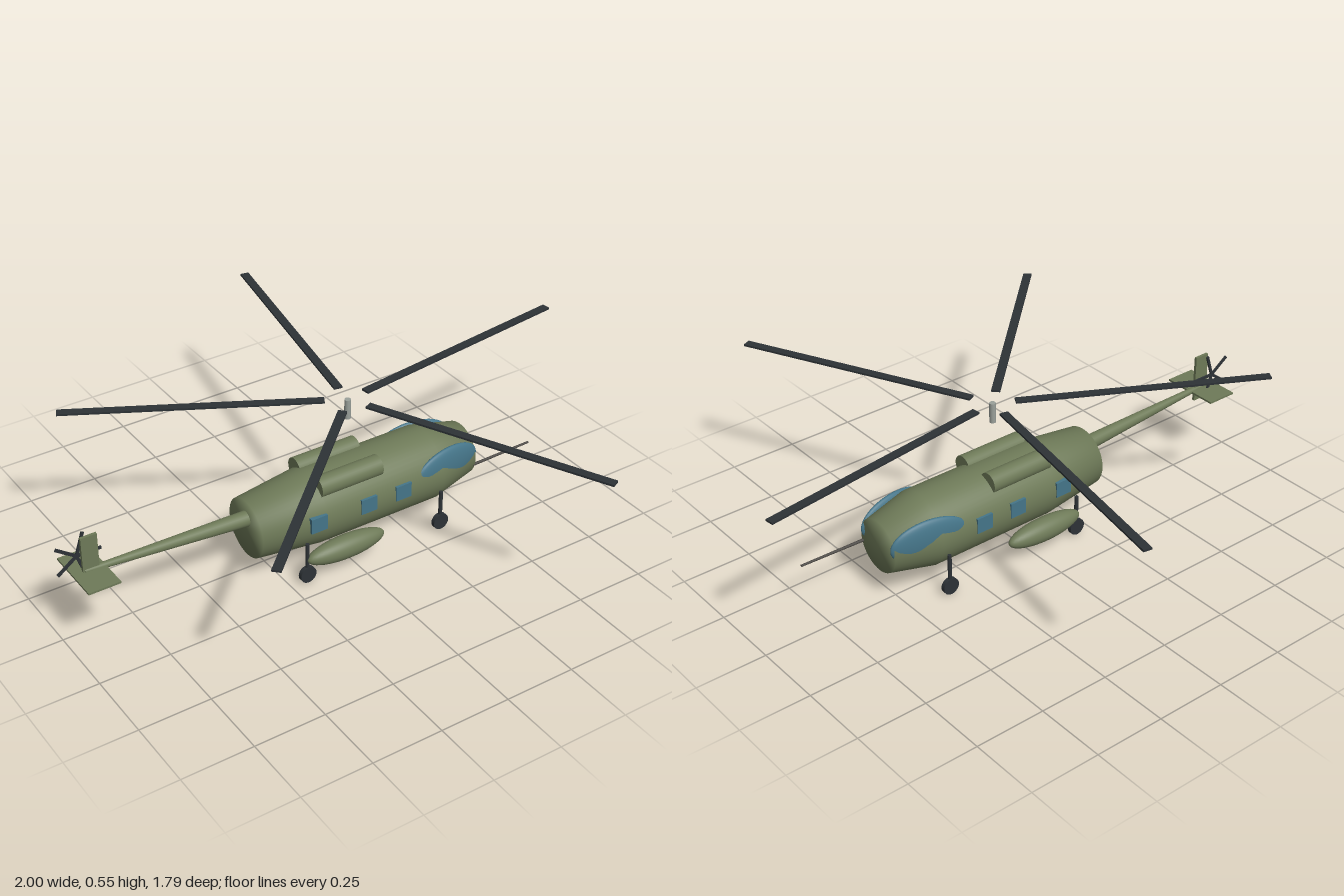
import * as THREE from 'three';

const paint = (color) => new THREE.MeshStandardMaterial({ color });
const GREEN = paint(0x6e7a58);
const GLASS = paint(0x457589);
const DARK = paint(0x2d3236);
const METAL = paint(0x9aa09a);
const PROBE = paint(0x4a4743);

export function createModel() {
  const model = new THREE.Group();
  model.name = 'helicopter';
  // everything is laid out about the fuselage axis, nose toward +x
  model.position.z = 0.034;

  const add = (name, geometry, material, x = 0, y = 0, z = 0, parent = model) => {
    const mesh = new THREE.Mesh(geometry, material);
    mesh.name = name;
    mesh.position.set(x, y, z);
    parent.add(mesh);
    return mesh;
  };

  // tapered round bar between two points
  const bar = (name, a, b, ra, rb, material, sides = 16) => {
    const from = new THREE.Vector3(...a);
    const to = new THREE.Vector3(...b);
    const dir = to.clone().sub(from);
    const mesh = add(name, new THREE.CylinderGeometry(rb, ra, dir.length(), sides), material);
    mesh.position.copy(from).lerp(to, 0.5);
    mesh.quaternion.setFromUnitVectors(new THREE.Vector3(0, 1, 0), dir.normalize());
    return mesh;
  };

  const ellipsoid = (name, rx, ry, rz, material, x, y, z) =>
    add(name, new THREE.SphereGeometry(1, 40, 24).scale(rx, ry, rz), material, x, y, z);

  // fuselage: soft-edged barrel tapering at both ends
  const profile = [[0, -0.335], [0.106, -0.335], [0.133, -0.1], [0.133, 0.37], [0.095, 0.535], [0, 0.535]]
    .map(([r, x]) => new THREE.Vector2(r, x));
  const hull = new THREE.LatheGeometry(profile, 48).rotateZ(-Math.PI / 2);
  add('fuselage', hull, GREEN, 0, 0.192, 0);

  // mirrored side parts
  for (const s of [1, -1]) {
    const side = s > 0 ? 'near' : 'far';
    const canopy = ellipsoid(`${side}CockpitWindow`, 0.141, 0.075, 0.022, GLASS, 0.405, 0.215, s * 0.1);
    canopy.rotation.y = s * 0.14;

    for (const x of [-0.135, 0.062, 0.202]) {
      add(`${side}CabinWindow`, new THREE.BoxGeometry(0.062, 0.056, 0.02), GLASS, x, 0.206, s * 0.125);
    }

    bar(`${side}Engine`, [-0.104, 0.303, s * 0.068], [0.138, 0.303, s * 0.068], 0.037, 0.037, GREEN, 32);
    ellipsoid(`${side}Sponson`, 0.152, 0.042, 0.04, GREEN, -0.04, 0.088, s * 0.147);

    for (const x of [-0.188, 0.355]) {
      bar(`${side}WheelStrut`, [x, 0.03, s * 0.14], [x, 0.152, s * 0.14], 0.007, 0.007, DARK);
      bar(`${side}Wheel`, [x, 0.03, s * 0.14 - 0.008], [x, 0.03, s * 0.14 + 0.008], 0.03, 0.03, DARK, 24);
    }
  }

  // tail
  bar('tailBoom', [-0.32, 0.229, 0], [-0.92, 0.262, 0], 0.028, 0.009, GREEN, 24);
  add('tailplane', new THREE.BoxGeometry(0.112, 0.007, 0.215), GREEN, -0.904, 0.258, 0);
  add('tailFin', new THREE.BoxGeometry(0.057, 0.175, 0.01), GREEN, -0.897, 0.302, 0);

  // five-bladed rotor turning about the local z axis
  const rotor = (name, inner, outer, width, thickness, start) => {
    const group = new THREE.Group();
    group.name = name;
    for (let i = 0; i < 5; i++) {
      const blade = new THREE.BoxGeometry(outer - inner, width, thickness);
      blade.translate((inner + outer) / 2, 0, 0);
      add('blade', blade, DARK, 0, 0, 0, group).rotation.z = start + (i * Math.PI * 2) / 5;
    }
    model.add(group);
    return group;
  };
  rotor('tailRotor', 0, 0.085, 0.01, 0.006, 0).position.set(-0.93, 0.31, -0.024);

  const mainRotor = rotor('mainRotor', 0.076, 0.942, 0.03, 0.007, THREE.MathUtils.degToRad(7.5));
  mainRotor.position.set(0.062, 0.55, 0);
  mainRotor.rotation.x = -Math.PI / 2;
  bar('rotorMast', [0.062, 0.478, 0], [0.062, 0.55, 0], 0.011, 0.011, METAL);

  // refuelling probe on the near side of the nose
  bar('probe', [0.43, 0.165, 0.088], [0.774, 0.173, 0.088], 0.006, 0.004, PROBE, 12);

  return model;
}
